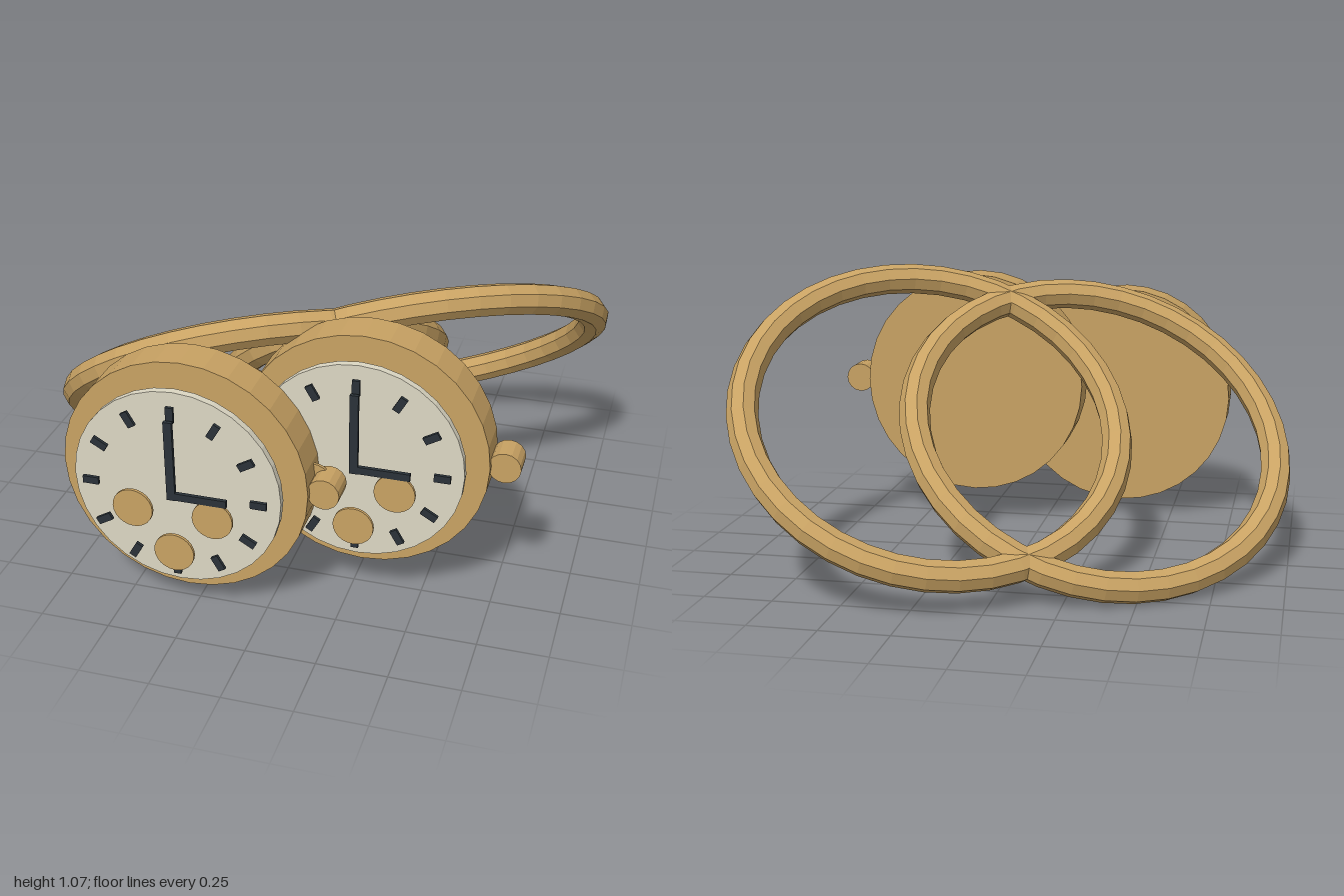
import * as THREE from 'three';

const gold = new THREE.MeshStandardMaterial({ color: 0xc8a263, flatShading: true });
const cream = new THREE.MeshStandardMaterial({ color: 0xdcd7c3, flatShading: true });
const dark = new THREE.MeshStandardMaterial({ color: 0x2a3238, flatShading: true });

function add(parent, name, geometry, material, x, y, z) {
  const mesh = new THREE.Mesh(geometry, material);
  mesh.name = name;
  mesh.position.set(x, y, z);
  parent.add(mesh);
  return mesh;
}

// Cylinder whose flat faces look along z
const disc = (radius, depth, sides) =>
  new THREE.CylinderGeometry(radius, radius, depth, sides).rotateX(Math.PI / 2);

// One watch, with its origin on the dial axis
function createWatch(name) {
  const watch = new THREE.Group();
  watch.name = name;

  // Tilted faceted band behind the case
  const strap = add(watch, 'strapRing', new THREE.TorusGeometry(0.689, 0.057, 8, 40), gold, 0, 0, -0.045);
  strap.rotation.set(0.937, 0.314, 0);

  add(watch, 'case', disc(0.442, 0.143, 32), gold, 0, 0, 0.687);
  add(watch, 'crown', disc(0.057, 0.098, 16), gold, 0.487, 0, 0.687);
  add(watch, 'dial', disc(0.37, 0.027, 32), cream, 0, 0, 0.817);

  // Twelve hour markers
  const markers = new THREE.Group();
  markers.name = 'hourMarkers';
  watch.add(markers);
  for (let i = 0; i < 12; i++) {
    const a = (i * Math.PI) / 6;
    const marker = add(markers, 'hourMarker', new THREE.BoxGeometry(0.057, 0.027, 0.012), dark,
      0.3 * Math.cos(a), 0.3 * Math.sin(a), 0.857);
    marker.rotation.z = a;
  }

  // Hands at three o'clock
  add(watch, 'minuteHand', new THREE.BoxGeometry(0.03, 0.3, 0.014), dark, 0, 0.135, 0.878);
  add(watch, 'hourHand', new THREE.BoxGeometry(0.21, 0.027, 0.014), dark, 0.09, 0, 0.878);

  // Small chronograph dials
  for (const [x, y] of [[-0.143, -0.072], [0.143, -0.072], [0, -0.228]]) {
    add(watch, 'subdial', disc(0.072, 0.011, 24), gold, x, y, 0.878);
  }
  return watch;
}

export function createModel() {
  const model = new THREE.Group();
  model.name = 'watchPair';
  const front = createWatch('frontWatch');
  front.position.set(-0.287, 0.507, 0);
  const back = createWatch('backWatch');
  back.position.set(0.287, 0.58, -0.217);
  model.add(front, back);
  return model;
}
